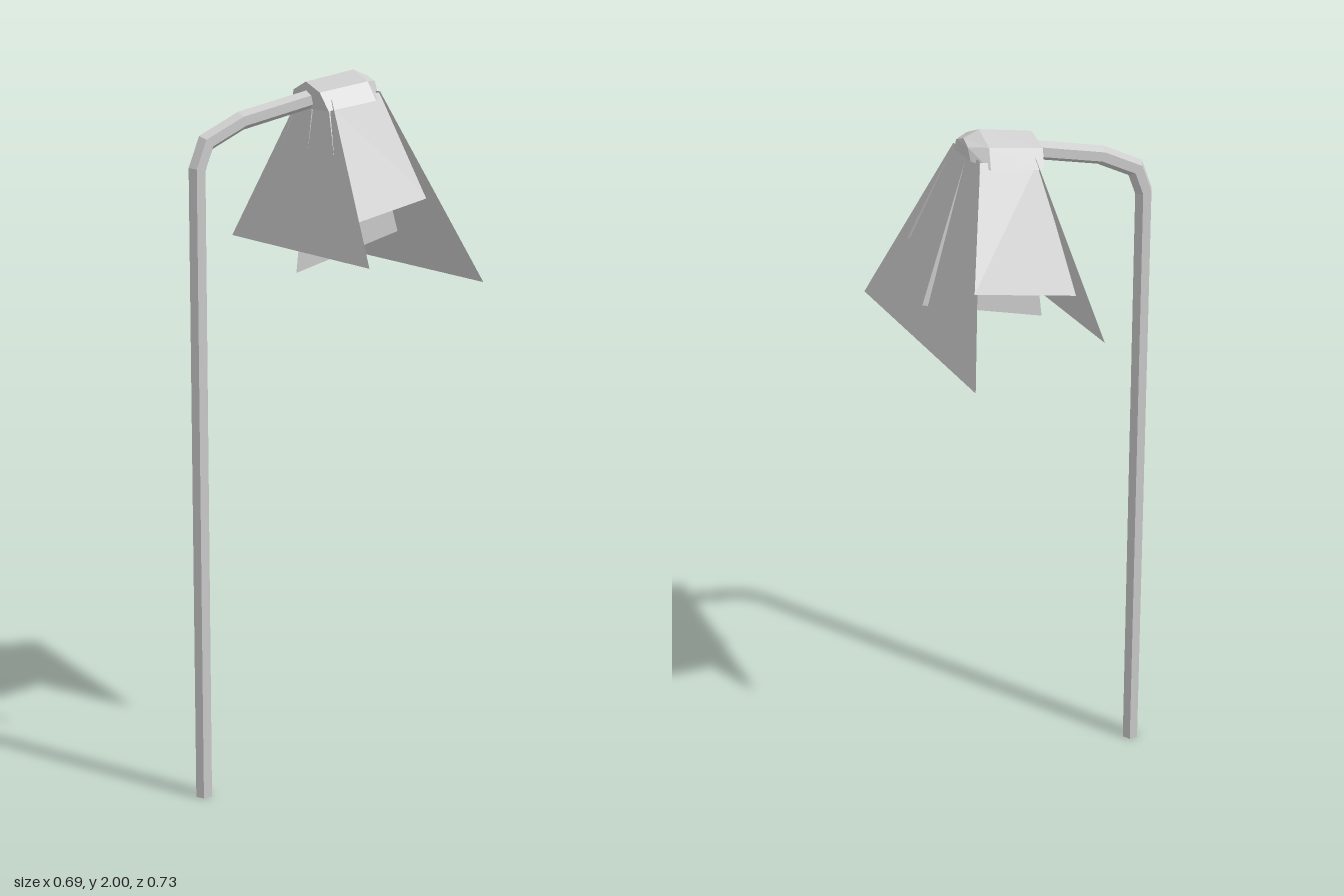
import * as THREE from 'three';

const metal = new THREE.MeshStandardMaterial({ color: 0xcccccc, flatShading: true });
const sheet = new THREE.MeshStandardMaterial({ color: 0xcccccc, flatShading: true, side: THREE.DoubleSide });

// Skins a row of closed rings (equal point counts) and caps both ends.
function loft(rings) {
  const n = rings[0].length;
  const index = [];
  for (let r = 0; r < rings.length - 1; r++) {
    for (let i = 0; i < n; i++) {
      const a = r * n + i, b = r * n + (i + 1) % n;
      index.push(a, b, b + n, a, b + n, a + n);
    }
  }
  const last = (rings.length - 1) * n;
  for (let i = 1; i < n - 1; i++) {
    index.push(0, i + 1, i, last, last + i, last + i + 1);
  }
  const geo = new THREE.BufferGeometry();
  geo.setAttribute('position', new THREE.Float32BufferAttribute(rings.flat(2), 3));
  geo.setIndex(index);
  const flat = geo.toNonIndexed();
  flat.computeVertexNormals();
  return flat;
}

// Hexagonal bar swept along a bent path in the xy plane, with mitred joints.
function bentBar(points, radius) {
  const path = points.map(p => new THREE.Vector2(...p));
  const rings = path.map((p, i) => {
    const before = path[i].clone().sub(path[Math.max(i - 1, 0)]).normalize();
    const after = path[Math.min(i + 1, path.length - 1)].clone().sub(p).normalize();
    const dir = before.clone().add(after).normalize();
    const ref = after.lengthSq() > 0 ? after : before;
    const mitre = 1 / dir.dot(ref);
    return Array.from({ length: 6 }, (_, k) => {
      const a = k * Math.PI / 3;
      const u = Math.cos(a) * radius * mitre;
      return [p.x - dir.y * u, p.y + dir.x * u, Math.sin(a) * radius];
    });
  });
  return loft(rings);
}

// Half profile (ridge, shoulder, eave) mirrored into a closed ring.
function headRing([ridge, shoulder, eave]) {
  const flip = ([x, y, z]) => [x, y, -z];
  return [ridge, flip(shoulder), flip(eave), eave, shoulder].reverse();
}

// Flat four-cornered sheet.
function quad(corners) {
  const geo = new THREE.BufferGeometry();
  geo.setAttribute('position', new THREE.Float32BufferAttribute(corners.flat(), 3));
  geo.setIndex([0, 1, 2, 0, 2, 3]);
  geo.computeVertexNormals();
  return geo;
}

export function createModel() {
  const group = new THREE.Group();
  const add = (name, geo, mat) => {
    const mesh = new THREE.Mesh(geo, mat);
    mesh.name = name;
    group.add(mesh);
  };

  // Post and curved arm
  add('post', bentBar([
    [-0.323, 0], [-0.323, 1.757], [-0.296, 1.826], [-0.19, 1.878], [0.03, 1.928],
  ], 0.025), metal);

  // Lamp head: back, front of the body, then the tapered nose
  add('lampHead', loft([
    [[0.01, 1.973, 0], [0.012, 1.948, 0.068], [0.022, 1.9, 0.097]],
    [[0.16, 2, 0], [0.163, 1.972, 0.068], [0.172, 1.922, 0.097]],
    [[0.203, 1.983, 0], [0.207, 1.97, 0.035], [0.207, 1.938, 0.05]],
  ].map(headRing)), sheet);

  // Light cone: two wide end sheets
  for (const [name, top, bottom] of [
    ['innerLightSheet', [0.04, 1.93, 0.083], [-0.017, 1.518, 0.363]],
    ['outerLightSheet', [0.195, 1.945, 0.08], [0.345, 1.453, 0.363]],
  ]) {
    const [tx, ty, tz] = top, [bx, by, bz] = bottom;
    add(name, quad([[tx, ty, tz], [bx, by, bz], [bx, by, -bz], [tx, ty, -tz]]), sheet);
  }

  // Light cone: front and back sheets, and the longer one through the middle
  for (const [name, z0, z1, z2, y1, y2, x1, x2] of [
    ['frontLightSheet', 0.075, 0.2, 0.18, 1.602, 1.663, 0, 0.29],
    ['backLightSheet', -0.083, -0.235, -0.245, 1.602, 1.663, 0, 0.29],
    ['middleLightSheet', -0.005, -0.01, -0.01, 1.456, 1.552, -0.014, 0.332],
  ]) {
    add(name, quad([[0.034, 1.92, z0], [x1, y1, z1], [x2, y2, z2], [0.195, 1.942, z0]]), sheet);
  }

  return group;
}
